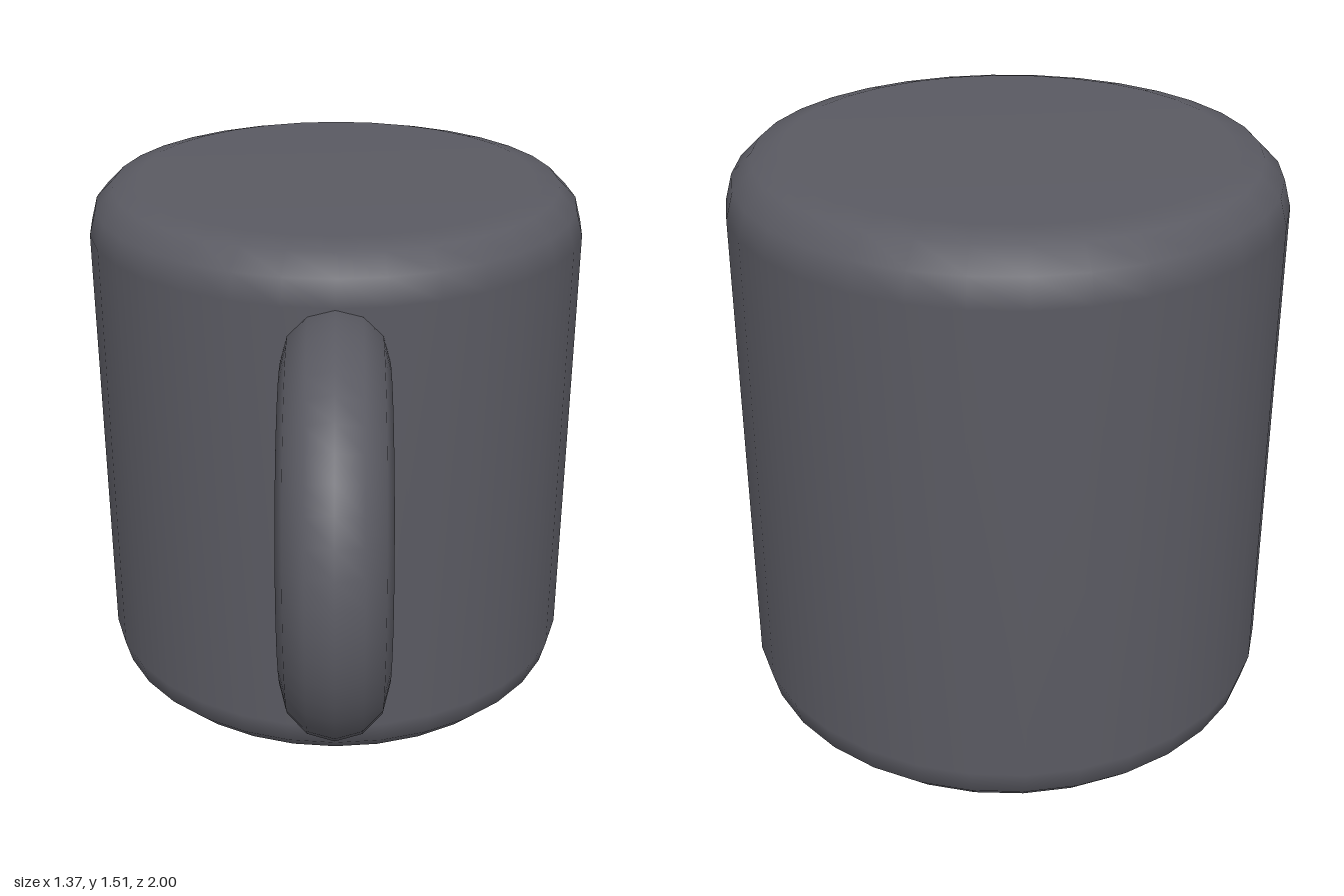
import * as THREE from 'three';

const HEIGHT = 1.515, RADIUS = 0.687, BEVEL = 0.137, BODY_Z = -0.313;
const HANDLE_RADIUS = 0.412, HANDLE_TUBE = 0.137;

// Quarter-round edge of the body profile, in three steps
function roundedCorner(centreY, startAngle) {
  return Array.from({ length: 4 }, (_, i) => {
    const a = startAngle + (i / 3) * Math.PI / 2;
    return new THREE.Vector2(RADIUS - BEVEL + BEVEL * Math.cos(a), centreY + BEVEL * Math.sin(a));
  });
}

export function createModel() {
  const group = new THREE.Group();
  group.name = 'mug';
  const material = new THREE.MeshStandardMaterial({ color: 0x5a5a62 });

  // Closed cylinder body with rounded rims
  const profile = [
    new THREE.Vector2(0, 0),
    ...roundedCorner(BEVEL, -Math.PI / 2),
    ...roundedCorner(HEIGHT - BEVEL, 0),
    new THREE.Vector2(0, HEIGHT),
  ];
  const body = new THREE.Mesh(new THREE.LatheGeometry(profile, 32), material);
  body.name = 'body';
  body.position.z = BODY_Z;
  group.add(body);

  // Ring handle on the front, its open ends buried in the body
  const arc = Math.PI * 4 / 3;
  const ring = new THREE.TorusGeometry(HANDLE_RADIUS, HANDLE_TUBE, 12, 32, arc);
  ring.rotateZ(-arc / 2);
  ring.rotateY(-Math.PI / 2);
  const handle = new THREE.Mesh(ring, material);
  handle.name = 'handle';
  handle.position.set(0, 0.83, 0.45);
  group.add(handle);

  return group;
}
